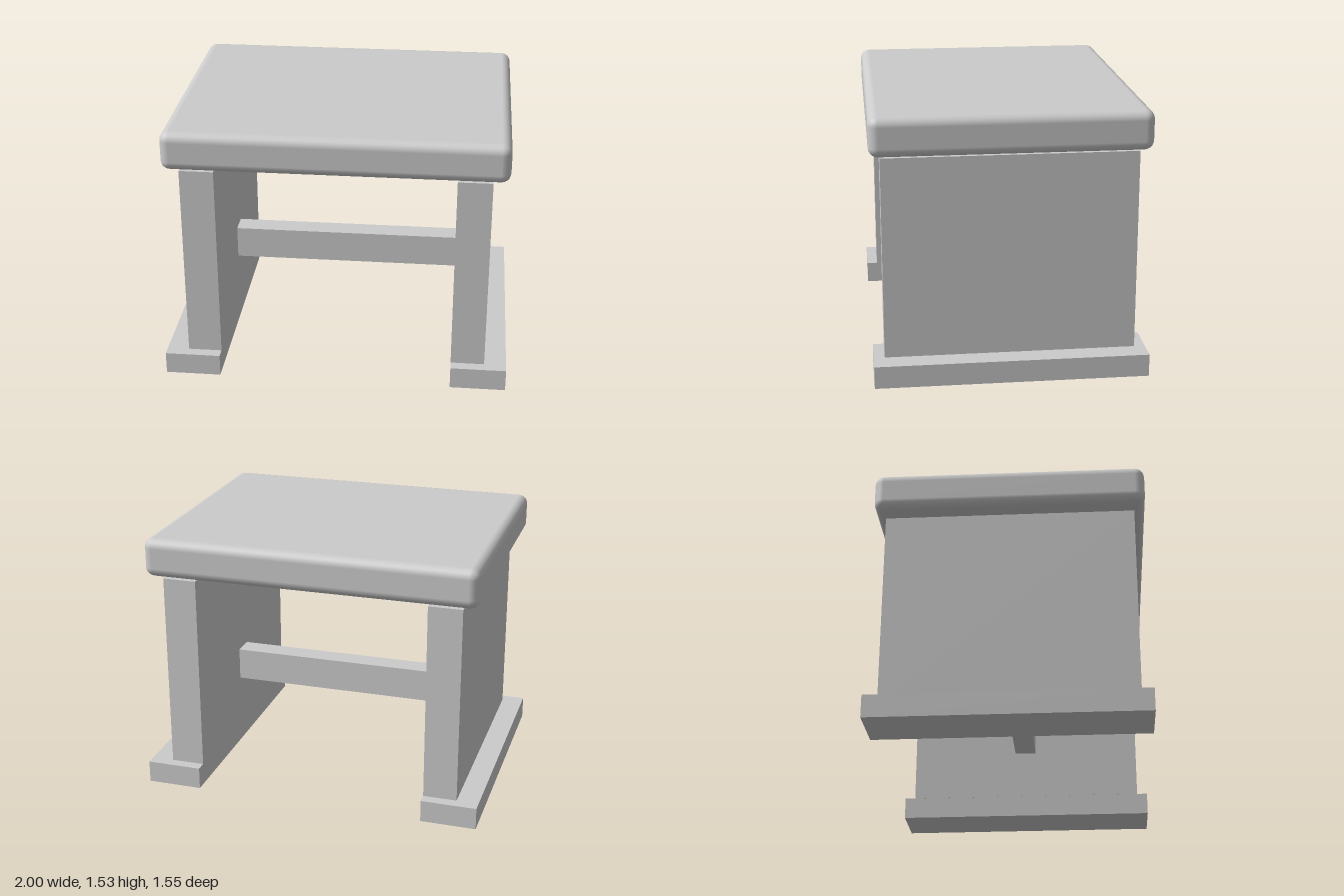
import * as THREE from 'three';
import { RoundedBoxGeometry } from 'three/addons/geometries/RoundedBoxGeometry.js';

export function createModel() {
  const stool = new THREE.Group();
  stool.name = 'stool';
  const material = new THREE.MeshStandardMaterial({ color: 0xcccccc });

  const add = (name, geometry, x, y, z = 0) => {
    const mesh = new THREE.Mesh(geometry, material);
    mesh.name = name;
    mesh.position.set(x, y, z);
    stool.add(mesh);
  };

  // Cushioned seat with softened edges, floating just above the side panels
  add('seat', new RoundedBoxGeometry(1.93, 0.225, 1.55, 3, 0.054), 0, 1.4225);

  // Side panels on wider feet, flush on the inner face
  for (const [side, s] of [['left', 1], ['right', -1]]) {
    add(side + 'Panel', new THREE.BoxGeometry(0.195, 1.16, 1.425), s * 0.775, 0.71);
    add(side + 'Foot', new THREE.BoxGeometry(0.322, 0.13, 1.55), s * 0.839, 0.065);
  }

  // Stretcher joining the panels
  add('stretcher', new THREE.BoxGeometry(1.356, 0.193, 0.13), 0, 0.519);

  return stool;
}
